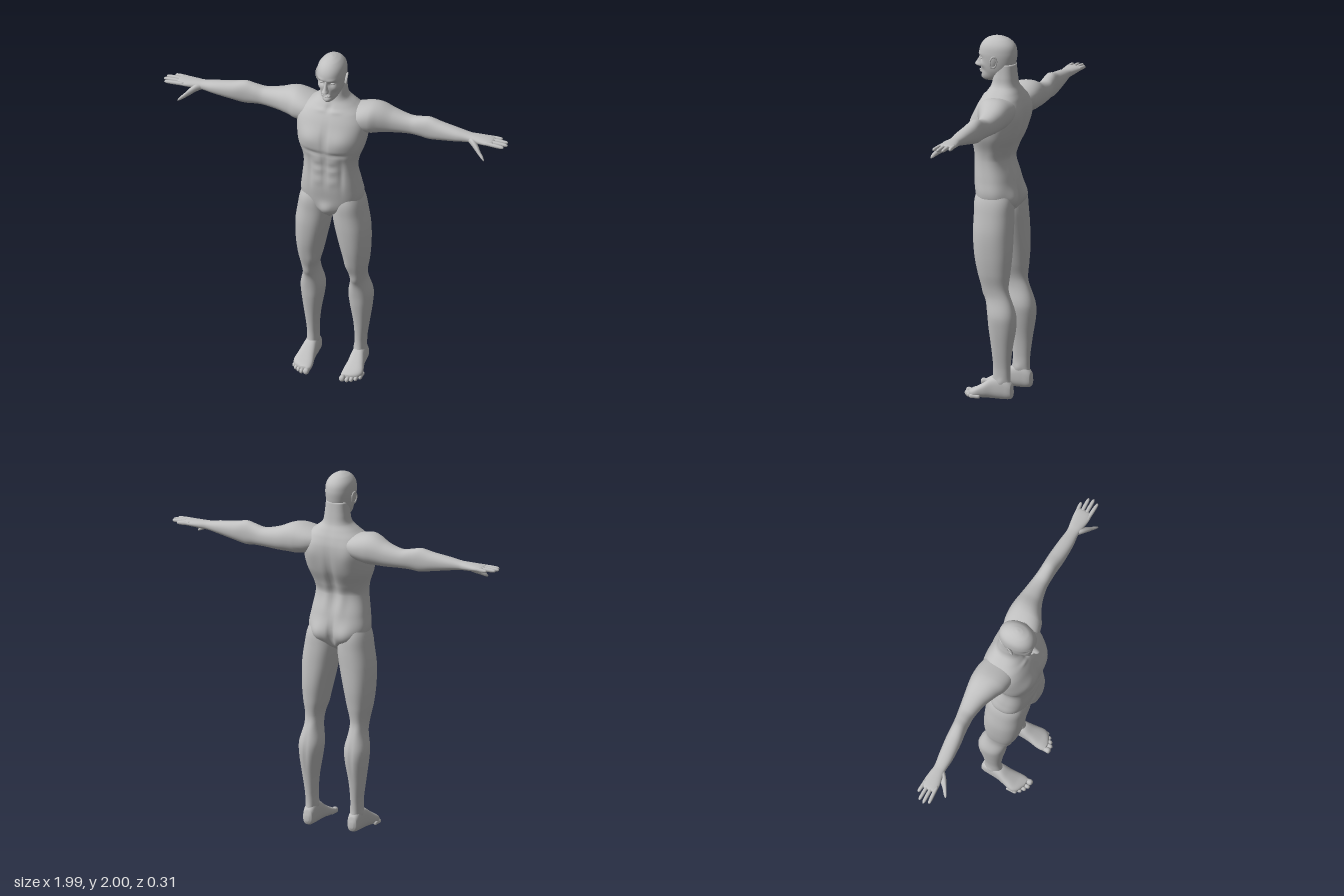
import * as THREE from 'three';

const skin = new THREE.MeshStandardMaterial({ color: 0xc0c0c0 });
skin.name = 'plain grey';

// Axis maps: (t along the part, a, b across it) -> x, y, z
const UP = (t, a, b) => [b, t, a];
const OUT = (t, a, b) => [t, a, b];
const FORWARD = (t, a, b) => [a, b, t];

// Smooth value of column c at fraction f between sections i and i + 1
function ease(s, i, f, c) {
  const slope = (j) => {
    const p = s[Math.max(j - 1, 0)], q = s[Math.min(j + 1, s.length - 1)];
    return (q[c] - p[c]) / (q[0] - p[0]);
  };
  const h = s[i + 1][0] - s[i][0], f2 = f * f, f3 = f2 * f;
  return (2 * f3 - 3 * f2 + 1) * s[i][c] + (f3 - 2 * f2 + f) * h * slope(i)
    + (3 * f2 - 2 * f3) * s[i + 1][c] + (f3 - f2) * h * slope(i + 1);
}

// Skin over sections [t, aMin, aMax, bMin, bMax]; bumps are [x, y, z, sx, sy, sz, height], mirrored in x
function loft(name, map, sections, { around = 32, steps = 5, power = 0.9, side = 1, bumps = [] } = {}) {
  const s = [...sections].sort((p, q) => p[0] - q[0]);
  const pos = [], index = [];
  const put = (t, a, b) => { const p = map(t, a, b); pos.push(p[0] * side, p[1], p[2]); };
  const tri = (a, b, c) => (side > 0 ? index.push(a, b, c) : index.push(a, c, b));
  const round = (v) => Math.sign(v) * Math.abs(v) ** power;
  const rings = (s.length - 1) * steps + 1;
  for (let r = 0; r < rings; r++) {
    const i = Math.min(Math.floor(r / steps), s.length - 2), f = r / steps - i;
    const [a0, a1, b0, b1] = [1, 2, 3, 4].map((c) => ease(s, i, f, c));
    const t = s[i][0] + (s[i + 1][0] - s[i][0]) * f;
    for (let k = 0; k < around; k++) {
      const w = (k / around) * Math.PI * 2;
      put(t, (a0 + a1) / 2 + round(Math.cos(w)) * (a1 - a0) / 2, (b0 + b1) / 2 + round(Math.sin(w)) * (b1 - b0) / 2);
      if (r) {
        const n = (k + 1) % around, lo = (r - 1) * around, hi = r * around;
        tri(lo + k, lo + n, hi + n);
        tri(lo + k, hi + n, hi + k);
      }
    }
  }
  // end caps
  const end = rings * around;
  for (const q of [s[0], s[s.length - 1]]) put(q[0], (q[1] + q[2]) / 2, (q[3] + q[4]) / 2);
  for (let k = 0; k < around; k++) {
    const n = (k + 1) % around;
    tri(end, n, k);
    tri(end + 1, end - around + k, end - around + n);
  }
  const g = new THREE.BufferGeometry();
  g.setAttribute('position', new THREE.Float32BufferAttribute(pos, 3));
  g.setIndex(index);
  g.computeVertexNormals();
  const P = g.attributes.position, N = g.attributes.normal;
  for (let i = 0; i < P.count && bumps.length; i++) {
    const x = Math.abs(P.getX(i)), y = P.getY(i), z = P.getZ(i);
    let d = 0;
    for (const [bx, by, bz, sx, sy, sz, h] of bumps)
      d += h * Math.exp(-(((x - bx) / sx) ** 2) - ((y - by) / sy) ** 2 - ((z - bz) / sz) ** 2);
    P.setXYZ(i, P.getX(i) + N.getX(i) * d, y + N.getY(i) * d, z + N.getZ(i) * d);
  }
  g.computeVertexNormals();
  const mesh = new THREE.Mesh(g, skin);
  mesh.name = name;
  return mesh;
}

const symmetric = (rows) => rows.map(([y, back, front, w]) => [y, back, front, -w, w]);

function ball(name, x, y, z, sx, sy, sz) {
  const mesh = new THREE.Mesh(new THREE.SphereGeometry(1, 20, 14), skin);
  mesh.name = name;
  mesh.position.set(x, y, z);
  mesh.scale.set(sx, sy, sz);
  return mesh;
}

function buildTorso() {
  return loft('torso', UP, symmetric([
    [0.995, -0.03, 0.06, 0.01], [1.03, -0.085, 0.095, 0.06], [1.08, -0.112, 0.105, 0.15],
    [1.13, -0.116, 0.113, 0.174], [1.21, -0.1, 0.124, 0.165], [1.32, -0.07, 0.126, 0.15],
    [1.38, -0.09, 0.13, 0.157], [1.46, -0.128, 0.143, 0.185], [1.54, -0.147, 0.132, 0.197],
    [1.61, -0.15, 0.11, 0.195], [1.66, -0.138, 0.085, 0.165], [1.695, -0.122, 0.06, 0.12],
    [1.73, -0.105, 0.04, 0.08], [1.78, -0.097, 0.03, 0.068], [1.85, -0.09, 0.02, 0.06],
  ]), {
    around: 96, steps: 8, power: 0.82, bumps: [
      [0.085, 1.52, 0.14, 0.07, 0.055, 0.08, 0.014], // chest
      [0, 1.52, 0.14, 0.014, 0.09, 0.06, -0.008], // breastbone
      [0.07, 1.435, 0.14, 0.07, 0.014, 0.05, -0.007], // lower chest line
      [0, 1.33, 0.13, 0.01, 0.1, 0.05, -0.006], // belly line
      [0.04, 1.385, 0.13, 0.028, 0.025, 0.05, 0.005],
      [0.04, 1.32, 0.13, 0.028, 0.025, 0.05, 0.006],
      [0.04, 1.255, 0.13, 0.028, 0.03, 0.05, 0.005],
      [0.09, 1.3, 0.12, 0.014, 0.1, 0.05, -0.006], // belly sides
      [0, 1.07, 0.11, 0.035, 0.035, 0.05, 0.016], // groin
      [0.08, 1.1, -0.11, 0.05, 0.055, 0.06, 0.02], // buttocks
      [0, 1.09, -0.11, 0.014, 0.07, 0.06, -0.022],
      [0, 1.42, -0.11, 0.022, 0.17, 0.08, -0.014], // spine
      [0.045, 1.3, -0.08, 0.025, 0.09, 0.05, 0.008],
      [0.11, 1.57, -0.15, 0.045, 0.07, 0.05, 0.009], // shoulder blades
      [0.04, 1.675, 0.08, 0.035, 0.01, 0.04, 0.004], // collar bones
      [0, 1.69, 0.06, 0.015, 0.02, 0.04, -0.008],
    ],
  });
}

function buildHead() {
  const head = new THREE.Group();
  head.name = 'head';
  head.add(loft('skull', UP, symmetric([
    [1.746, 0.02, 0.085, 0.012], [1.752, -0.015, 0.096, 0.028], [1.768, -0.045, 0.104, 0.043],
    [1.8, -0.07, 0.107, 0.06], [1.83, -0.085, 0.108, 0.069], [1.87, -0.094, 0.111, 0.076],
    [1.91, -0.097, 0.116, 0.078], [1.95, -0.087, 0.104, 0.071], [1.98, -0.058, 0.077, 0.049],
    [1.995, -0.022, 0.042, 0.023], [2, 0.005, 0.015, 0.004],
  ]), {
    around: 80, steps: 8, power: 0.95, bumps: [
      [0.031, 1.873, 0.1, 0.018, 0.013, 0.04, -0.012], // eye sockets
      [0.03, 1.896, 0.11, 0.025, 0.009, 0.04, 0.004], // brows
      [0.045, 1.84, 0.09, 0.018, 0.015, 0.03, 0.004], // cheekbones
      [0.045, 1.805, 0.085, 0.016, 0.02, 0.04, -0.005],
      [0, 1.783, 0.105, 0.03, 0.006, 0.03, -0.005],
      [0, 1.763, 0.104, 0.02, 0.012, 0.03, 0.004], // chin
    ],
  }));
  head.add(loft('nose', UP, symmetric([
    [1.815, 0.09, 0.11, 0.008], [1.822, 0.09, 0.136, 0.017], [1.83, 0.09, 0.145, 0.018],
    [1.845, 0.09, 0.137, 0.012], [1.865, 0.09, 0.125, 0.009], [1.893, 0.09, 0.113, 0.01],
  ]), { around: 20 }));
  head.add(ball('upperLip', 0, 1.802, 0.104, 0.024, 0.005, 0.012));
  head.add(ball('lowerLip', 0, 1.792, 0.102, 0.021, 0.006, 0.012));
  for (const s of [1, -1]) {
    head.add(ball('eye', s * 0.031, 1.872, 0.088, 0.014, 0.008, 0.012));
    const ear = new THREE.Group();
    ear.name = 'ear';
    ear.position.set(s * 0.079, 1.866, 0.006);
    ear.rotation.set(-0.15, s * 0.3, s * -0.1);
    ear.add(ball('earShell', 0, 0, 0, 0.006, 0.033, 0.019));
    const rim = new THREE.Mesh(new THREE.TorusGeometry(0.018, 0.004, 8, 24), skin);
    rim.name = 'earRim';
    rim.rotation.y = Math.PI / 2;
    rim.scale.y = 1.75;
    rim.position.x = s * 0.004;
    ear.add(rim);
    head.add(ear);
  }
  return head;
}

function buildArm(side) {
  const arm = new THREE.Group();
  arm.name = side > 0 ? 'leftArm' : 'rightArm';
  arm.add(loft('armAndPalm', OUT, [
    [0.06, 1.58, 1.66, -0.12, 0.03], [0.14, 1.545, 1.685, -0.148, 0.055], [0.21, 1.53, 1.7, -0.155, 0.045],
    [0.26, 1.532, 1.694, -0.152, 0.018], [0.33, 1.535, 1.665, -0.143, -0.015], [0.42, 1.54, 1.645, -0.13, -0.036],
    [0.48, 1.538, 1.655, -0.121, -0.036], [0.53, 1.533, 1.665, -0.117, -0.033], [0.6, 1.545, 1.65, -0.114, -0.025],
    [0.7, 1.563, 1.635, -0.103, -0.022], [0.77, 1.575, 1.624, -0.094, -0.027], [0.81, 1.578, 1.622, -0.099, -0.022],
    [0.87, 1.584, 1.618, -0.106, -0.013], [0.9, 1.589, 1.614, -0.104, -0.016], [0.91, 1.595, 1.609, -0.095, -0.025],
  ], { side, around: 40, steps: 6 }));
  // fingers: root z, tip z, tip x
  for (const [z0, z1, tip] of [[-0.094, -0.101, 0.945], [-0.071, -0.075, 0.985], [-0.048, -0.047, 0.993], [-0.025, -0.018, 0.98]]) {
    const row = (f, r) => {
      const x = 0.87 + (tip - 0.87) * f, y = 1.602 - 0.002 * f, z = z0 + (z1 - z0) * f;
      return [x, y - r, y + r, z - r, z + r];
    };
    arm.add(loft('finger', OUT, [row(0, 0.011), row(0.35, 0.0105), row(0.55, 0.0105), row(0.85, 0.009), row(0.96, 0.006), row(1, 0.001)], { side, around: 12, steps: 3 }));
  }
  arm.add(loft('thumb', OUT, [
    [0.77, 1.58, 1.612, -0.062, -0.03], [0.8, 1.568, 1.612, -0.052, -0.006], [0.83, 1.55, 1.592, -0.025, 0.012],
    [0.855, 1.537, 1.566, 0.002, 0.026], [0.875, 1.527, 1.547, 0.018, 0.036], [0.884, 1.525, 1.533, 0.029, 0.037],
  ], { side, around: 16 }));
  return arm;
}

function buildLeg(side) {
  const leg = new THREE.Group();
  leg.name = side > 0 ? 'leftLeg' : 'rightLeg';
  leg.add(loft('thighAndShin', UP, [
    [1.17, -0.085, 0.085, 0.03, 0.15], [1.1, -0.112, 0.103, 0.012, 0.179], [1.02, -0.118, 0.103, 0.004, 0.195],
    [0.92, -0.12, 0.102, 0.018, 0.209], [0.8, -0.12, 0.091, 0.045, 0.208], [0.7, -0.112, 0.07, 0.068, 0.198],
    [0.62, -0.106, 0.046, 0.09, 0.183], [0.56, -0.122, 0.026, 0.09, 0.182], [0.47, -0.147, 0.011, 0.072, 0.203],
    [0.4, -0.149, 0.004, 0.078, 0.2], [0.28, -0.13, -0.012, 0.098, 0.184], [0.18, -0.118, -0.02, 0.106, 0.17],
    [0.12, -0.116, -0.016, 0.105, 0.168], [0.06, -0.122, 0, 0.108, 0.166], [0.03, -0.11, -0.02, 0.115, 0.16],
  ], {
    side, around: 48, steps: 6, bumps: [
      [0.137, 0.585, 0.04, 0.025, 0.03, 0.03, 0.007], // kneecap
      [0.1, 0.68, 0.05, 0.025, 0.05, 0.04, 0.006], // inner thigh muscle
      [0.137, 0.42, -0.145, 0.01, 0.08, 0.04, -0.005], // calf split
      [0.137, 0.58, -0.11, 0.025, 0.04, 0.04, -0.005],
      [0.1, 0.11, -0.06, 0.02, 0.02, 0.02, 0.006], // ankle bones
      [0.17, 0.095, -0.07, 0.02, 0.02, 0.02, 0.006],
    ],
  }));
  leg.add(loft('foot', FORWARD, [
    [-0.134, 0.125, 0.147, 0.025, 0.055], [-0.125, 0.108, 0.163, 0.006, 0.09], [-0.08, 0.1, 0.172, 0, 0.125],
    [-0.02, 0.098, 0.178, 0, 0.118], [0.03, 0.094, 0.19, 0.001, 0.085], [0.075, 0.087, 0.198, 0, 0.058],
    [0.105, 0.087, 0.18, 0.002, 0.044], [0.125, 0.092, 0.14, 0.006, 0.034],
  ], { side, around: 36, power: 0.8 }));
  // toes: x, tip z, radius
  for (const [x, tip, r] of [[0.104, 0.155, 0.016], [0.131, 0.152, 0.0115], [0.152, 0.14, 0.011], [0.172, 0.124, 0.0105], [0.19, 0.102, 0.01]]) {
    const row = (z, k) => [z, x - r * k, x + r * k, r * (1 - k), r * (1 + k) + 0.004 * k];
    leg.add(loft('toe', FORWARD, [row(tip - 0.06, 0.9), row(tip - 0.03, 0.9), row(tip - 0.014, 1), row(tip - 0.004, 0.75), row(tip, 0.2)], { side, around: 14, steps: 3 }));
  }
  return leg;
}

export function createModel() {
  const figure = new THREE.Group();
  figure.name = 'standingFigure';
  figure.add(buildTorso(), buildHead());
  for (const side of [1, -1]) figure.add(buildArm(side), buildLeg(side));
  return figure;
}
